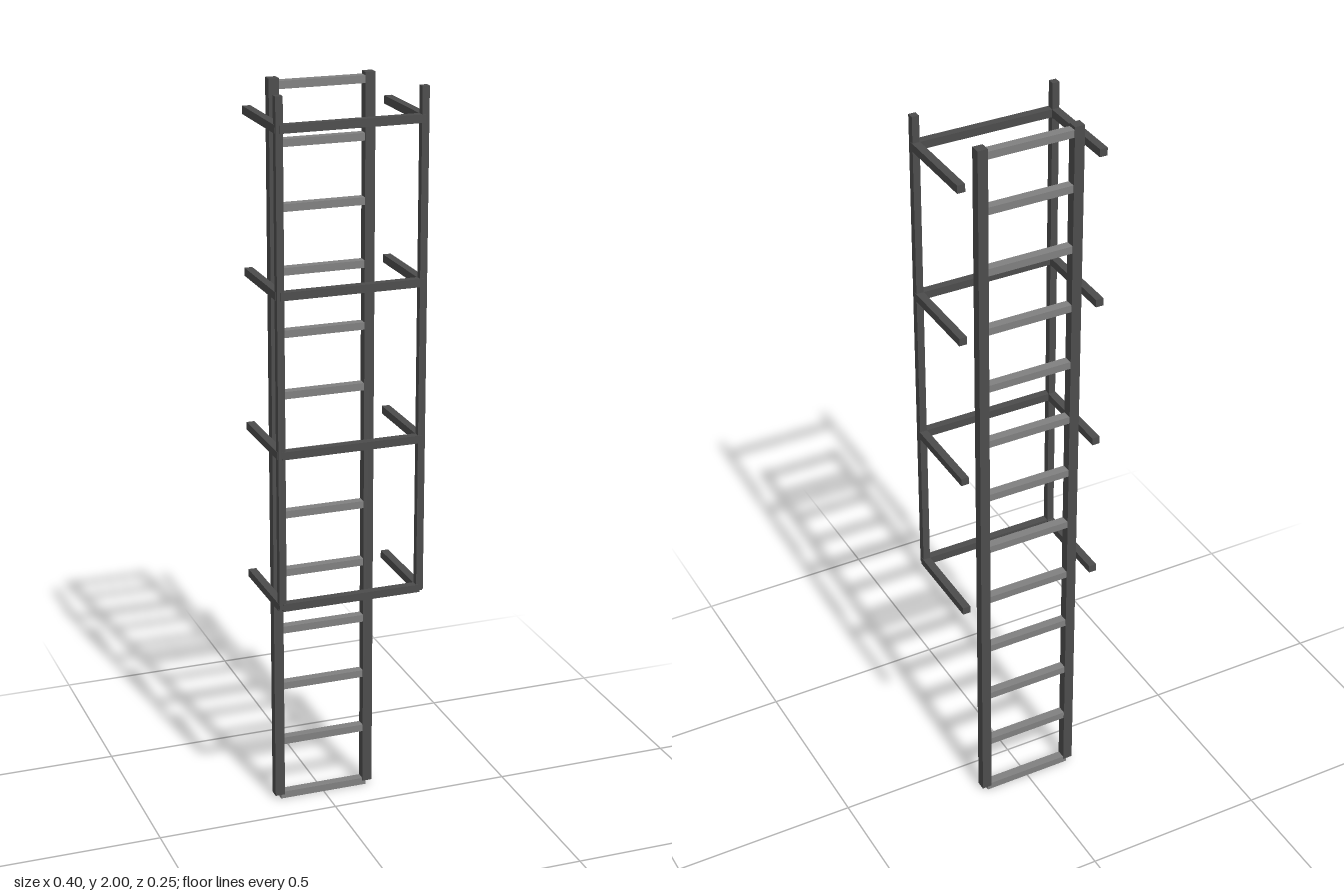
import * as THREE from 'three';

export function createModel() {
  const model = new THREE.Group();
  model.name = 'cagedLadder';
  const dark = new THREE.MeshStandardMaterial({ color: 0x4c4c4c });
  const worn = new THREE.MeshStandardMaterial({ color: 0x808080 });

  // square bar of the given size, centred at a point
  const bar = (name, material, w, h, d, x, y, z) => {
    const mesh = new THREE.Mesh(new THREE.BoxGeometry(w, h, d), material);
    mesh.name = name;
    mesh.position.set(x, y, z);
    model.add(mesh);
  };
  // square post standing between a height and the top
  const post = (name, size, x, z, y0) =>
    bar(name, dark, size, 2 - y0, size, x, (y0 + 2) / 2, z);

  const ladderZ = -0.106, cageX = 0.189, cageZ = 0.116, hoopBack = -0.128, hoopSize = 0.021;
  const sides = [['left', 1], ['right', -1]];

  // ladder rails and cage uprights, mirrored
  for (const [side, s] of sides) {
    post(side + 'Rail', 0.027, s * 0.128, ladderZ, 0.012);
    post(side + 'CageUpright', 0.019, s * cageX, cageZ - 0.001, 0.67);
  }

  // evenly spaced rungs, with the last one just under the rail tops
  for (let i = 0; i < 13; i++) {
    bar('rung', worn, 0.25, 0.02, 0.024, 0, i < 12 ? 0.01 + i * 0.166 : 1.982, ladderZ);
  }

  // open three-sided cage hoops
  for (let i = 0; i < 4; i++) {
    const y = 0.675 + i * 0.415;
    bar('hoopFront', dark, cageX * 2, hoopSize, hoopSize, 0, y, cageZ);
    for (const [side, s] of sides) {
      bar(side + 'HoopArm', dark, hoopSize, hoopSize, cageZ - hoopBack, s * cageX, y, (cageZ + hoopBack) / 2);
    }
  }
  return model;
}
